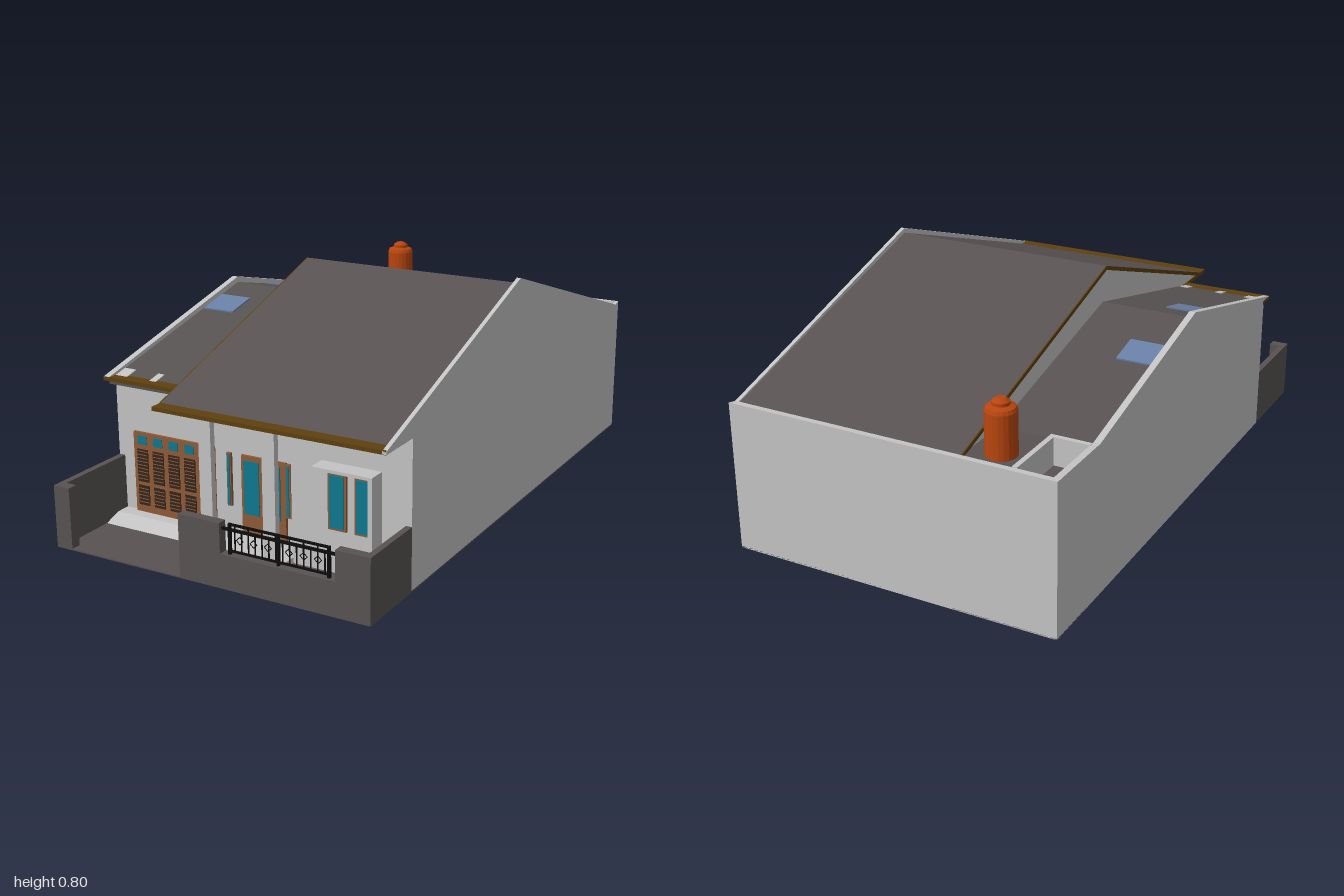
import * as THREE from 'three';

const mat = (name, color) => Object.assign(new THREE.MeshStandardMaterial({ color }), { name });

export function createModel() {
  const house = new THREE.Group();
  house.name = 'house';
  const plaster = mat('light plaster', 0xc4c4c4);
  const charcoal = mat('charcoal', 0x585352);
  const fasciaBrown = mat('fascia brown', 0x5e400f);
  const wood = mat('wood', 0x8f5a36);
  const louvreBrown = mat('dark louvre', 0x35261c);
  const teal = mat('teal glass', 0x0e7890);
  const skyGlass = mat('skylight glass', 0x687fa6);
  const iron = mat('black iron', 0x0c0c0c);
  const clay = mat('orange tank', 0xb8450f);

  const add = (name, geo, material, parent = house) => {
    const m = new THREE.Mesh(geo, material);
    m.name = name;
    parent.add(m);
    return m;
  };
  // Box given by its limits on each axis
  const box = (name, material, x0, x1, y0, y1, z0, z1, parent) => {
    const g = new THREE.BoxGeometry(x1 - x0, y1 - y0, z1 - z0);
    g.translate((x0 + x1) / 2, (y0 + y1) / 2, (z0 + z1) / 2);
    return add(name, g, material, parent);
  };
  // Side profile of [z, y] points, extended along x
  const prism = (name, material, pts, x0, x1, parent) => {
    const shape = new THREE.Shape(pts.map(([z, y]) => new THREE.Vector2(z, y)));
    const g = new THREE.ExtrudeGeometry(shape, { depth: x1 - x0, bevelEnabled: false });
    g.rotateY(-Math.PI / 2);
    g.translate(x1, 0, 0);
    return add(name, g, material, parent);
  };
  // Roof profile: upper line plus the same line lowered by the thickness
  const slab = (line, t) => [...line, ...line.slice().reverse().map(([z, y]) => [z, y - t])];

  // Ground and outer walls
  box('groundSlab', charcoal, -0.57, 0.57, 0, 0.005, -1, 1);
  prism('leftWall', plaster, [[-1, 0], [0.67, 0], [0.67, 0.485], [0.73, 0.485], [0.73, 0.497],
    [-0.02, 0.68], [-0.73, 0.51], [-1, 0.51]], -0.57, -0.548);
  prism('rightWall', plaster, [[-1, 0], [0.75, 0], [0.75, 0.485], [0.91, 0.485], [0.91, 0.495],
    [-0.01, 0.802], [-0.97, 0.503], [-1, 0.51]], 0.556, 0.57);
  box('backWall', plaster, -0.548, 0.556, 0, 0.51, -1, -0.98);
  box('frontWall', plaster, -0.548, 0.16, 0, 0.485, 0.65, 0.67);
  box('frontRoomWall', plaster, 0.155, 0.556, 0, 0.485, 0.65, 0.75);

  // Main roof with its gable and eave
  const mainLine = [[0.865, 0.497], [-0.01, 0.785], [-0.975, 0.497]];
  prism('mainRoof', charcoal, slab(mainLine, 0.012), -0.24, 0.556);
  prism('roofVerge', fasciaBrown, slab(mainLine, 0.014), -0.244, -0.24);
  prism('innerGable', plaster, [[0.84, 0.49], [-0.01, 0.772], [-0.94, 0.49]], -0.236, -0.225);
  box('mainEave', fasciaBrown, -0.24, 0.568, 0.484, 0.497, 0.66, 0.91);

  // Lower side roof with skylights
  const sideY = z => 0.66 - 0.2307 * Math.abs(z + 0.02);
  const sideLine = zs => zs.map(z => [z, sideY(z)]);
  prism('sideRoof', charcoal, slab(sideLine([0.73, -0.02, -0.74]), 0.012), -0.548, -0.236);
  box('sideEave', fasciaBrown, -0.57, -0.24, 0.484, 0.497, 0.665, 0.732);
  for (const [a, b] of [[0.2, 0.09], [-0.2, -0.31]]) {
    const line = sideLine([a, b]).map(([z, y]) => [z, y + 0.005]);
    prism('skylight', skyGlass, slab(line, 0.008), -0.542, -0.422);
  }
  // Ceiling pieces showing through the side roof near the eave
  for (const [a, b] of [[-0.545, -0.5], [-0.41, -0.385], [-0.275, -0.245]]) {
    const line = sideLine([0.72, 0.65]).map(([z, y]) => [z, y + 0.003]);
    prism('ceilingPatch', plaster, slab(line, 0.006), a, b);
  }

  // Rear deck with light well and water tank
  box('rearDeck', charcoal, -0.42, 0.556, 0.47, 0.495, -0.98, -0.73);
  box('wellFloor', charcoal, -0.548, -0.42, 0.41, 0.42, -0.98, -0.74);
  box('wellSideWall', plaster, -0.432, -0.415, 0.4, 0.512, -0.98, -0.74);
  box('wellFrontWall', plaster, -0.55, -0.415, 0.4, 0.512, -0.757, -0.74);
  const tank = [[0, 0.495], [0.05, 0.495], [0.05, 0.636], [0.045, 0.648], [0.028, 0.654],
    [0.028, 0.664], [0.015, 0.674], [0, 0.674]].map(([r, y]) => new THREE.Vector2(r, y));
  const tankMesh = add('waterTank', new THREE.LatheGeometry(tank, 20).toNonIndexed(), clay);
  tankMesh.geometry.computeVertexNormals();
  tankMesh.position.set(-0.335, 0, -0.895);

  // Porch columns, floor and driveway ramp
  for (const x of [-0.12, 0.11]) box('porchColumn', plaster, x, x + 0.045, 0, 0.485, 0.82, 0.842);
  box('porchFloor', plaster, -0.12, 0.16, 0, 0.025, 0.66, 0.8);
  prism('drivewayRamp', plaster, [[0.66, 0.004], [0.785, 0.004], [0.72, 0.025], [0.66, 0.025]], -0.548, -0.12);

  // Folding garage door: wooden leaves with glass and louvres
  const door = new THREE.Group();
  door.name = 'garageDoor';
  house.add(door);
  box('doorLeaves', wood, -0.5, -0.18, 0.025, 0.305, 0.665, 0.68, door);
  for (let i = 0; i < 5; i++) {
    const c = -0.465 + i * 0.0632;
    box('doorGlass', teal, c - 0.018, c + 0.018, 0.264, 0.294, 0.679, 0.682, door);
    for (const [y0, y1] of [[0.05, 0.12], [0.133, 0.247]]) {
      box('louvrePanel', louvreBrown, c - 0.022, c + 0.022, y0, y1, 0.679, 0.682, door);
      for (let y = y0 + 0.01; y < y1 - 0.004; y += 0.012)
        box('louvreSlat', wood, c - 0.02, c + 0.02, y, y + 0.002, 0.681, 0.684, door);
    }
  }

  // Framed glazing: wooden plate with an inset of glass
  const glazing = (name, x0, x1, y0, y1, z, f) => {
    const g = new THREE.Group();
    g.name = name;
    house.add(g);
    box('frame', wood, x0, x1, y0, y1, z - 0.005, z + 0.01, g);
    box('glass', teal, x0 + f, x1 - f, y0 + f, y1 - f, z + 0.009, z + 0.013, g);
  };
  glazing('narrowWindow', -0.131, -0.115, 0.115, 0.295, 0.67, 0.004);
  glazing('sidelight', 0.088, 0.109, 0.115, 0.295, 0.67, 0.006);
  box('entranceFrame', wood, -0.075, 0.09, 0.025, 0.297, 0.665, 0.68);
  for (const x of [-0.065, 0.014]) box('entranceGlass', teal, x, x + 0.057, 0.1, 0.281, 0.679, 0.683);
  for (const x of [0.29, 0.383]) glazing('frontWindow', x, x + 0.063, 0.15, 0.334, 0.75, 0.007);

  // Hood around the front windows
  box('windowHood', plaster, 0.265, 0.47, 0.354, 0.364, 0.74, 0.812);
  box('hoodSide', plaster, 0.456, 0.47, 0.115, 0.364, 0.74, 0.812);

  // Garden walls
  box('leftGardenWall', charcoal, -0.57, -0.548, 0, 0.21, 0.67, 1);
  box('leftPillar', charcoal, -0.57, -0.51, 0, 0.21, 0.965, 1);
  box('rightGardenWall', charcoal, 0.55, 0.57, 0, 0.21, 0.75, 1);
  box('frontWallTall', charcoal, -0.09, 0.06, 0, 0.21, 0.968, 1);
  box('frontWallLow', charcoal, 0.06, 0.455, 0, 0.112, 0.968, 1);
  box('frontWallEnd', charcoal, 0.455, 0.57, 0, 0.21, 0.968, 1);

  // Iron railing with diamonds
  const rail = new THREE.Group();
  rail.name = 'railing';
  house.add(rail);
  box('topRail', iron, 0.085, 0.43, 0.204, 0.21, 0.981, 0.989, rail);
  box('middleRail', iron, 0.058, 0.457, 0.186, 0.194, 0.981, 0.989, rail);
  box('bottomRail', iron, 0.085, 0.43, 0.12, 0.125, 0.981, 0.989, rail);
  for (const x of [0.087, 0.256, 0.427]) box('railPost', iron, x - 0.004, x + 0.004, 0.11, 0.21, 0.98, 0.99, rail);
  for (let i = 0; i < 14; i++) {
    const x = 0.105 + i * 0.0237;
    box('railBar', iron, x - 0.0015, x + 0.0015, 0.122, i % 2 ? 0.188 : 0.206, 0.983, 0.987, rail);
  }
  for (const x of [0.122, 0.17, 0.22, 0.292, 0.342, 0.39]) {
    const d = add('railDiamond', new THREE.TorusGeometry(0.012, 0.002, 4, 4), iron, rail);
    d.position.set(x, 0.16, 0.985);
  }
  return house;
}
